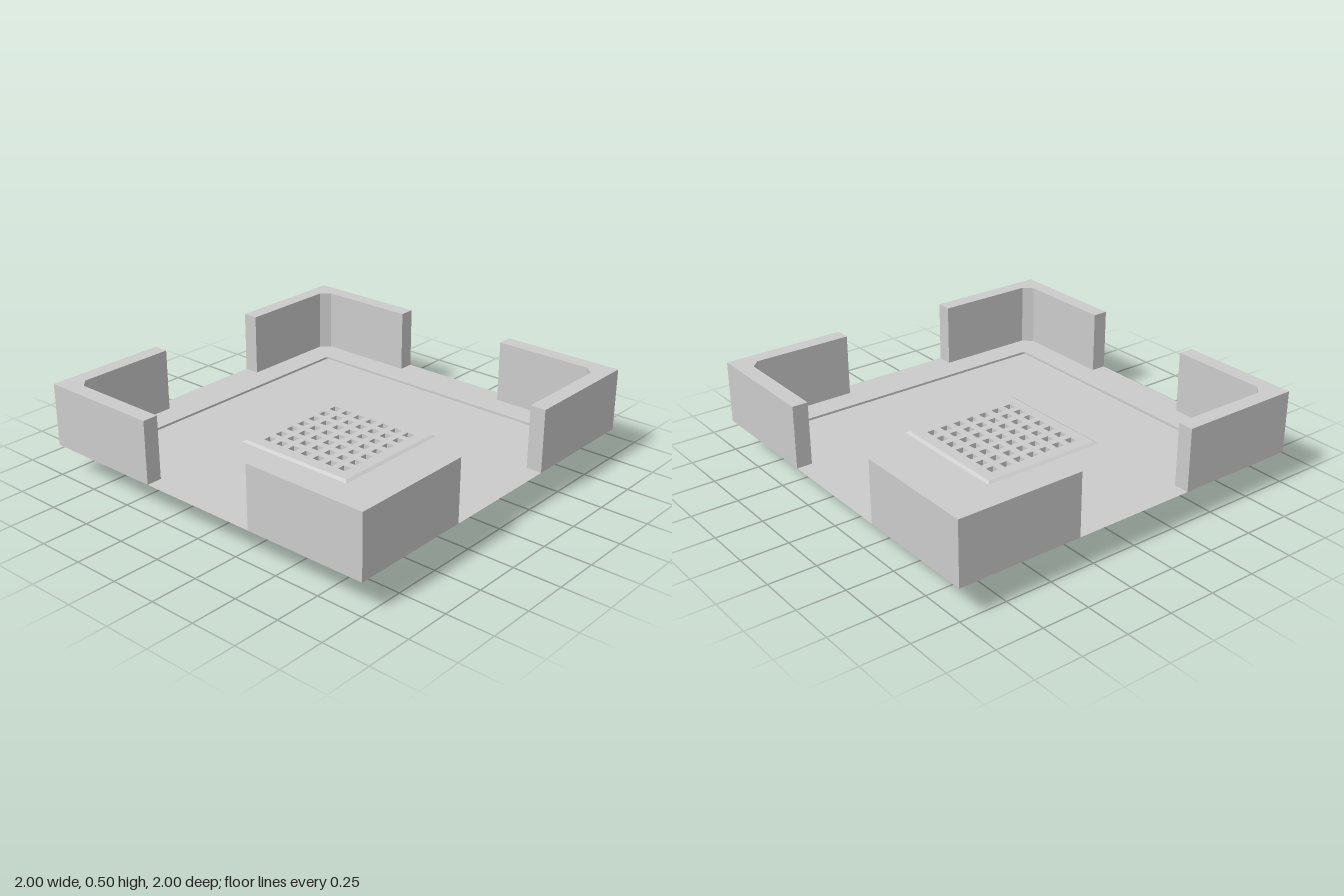
import * as THREE from 'three';

const material = new THREE.MeshStandardMaterial({ color: 0xcccccc, flatShading: true, side: THREE.DoubleSide });

// Outlines are plan points [x, -z], counter-clockwise seen from above.
const rect = (h, cx = 0, cy = 0) => [[cx - h, cy - h], [cx + h, cy - h], [cx + h, cy + h], [cx - h, cy + h]];

const rotate = ([x, y], k) => {
  for (let i = 0; i < k; i++) [x, y] = [-y, x];
  return [x, y];
};
const fourfold = (pts) => [0, 1, 2, 3].flatMap((k) => pts.map((p) => rotate(p, k)));
const toVectors = (pts) => pts.map(([x, y]) => new THREE.Vector2(x, y));

// Horizontal sheet with optional holes
function sheet(name, outline, y, holes = []) {
  const shape = new THREE.Shape(toVectors(outline));
  holes.forEach((h) => shape.holes.push(new THREE.Path(toVectors(h))));
  const geometry = new THREE.ShapeGeometry(shape);
  geometry.rotateX(-Math.PI / 2).translate(0, y, 0);
  const mesh = new THREE.Mesh(geometry, material);
  mesh.name = name;
  return mesh;
}

// Band of side faces between two matching outlines
function band(name, lower, y0, upper, y1) {
  const pos = [];
  lower.forEach((p, i) => {
    const j = (i + 1) % lower.length;
    const a = [p[0], y0, -p[1]], b = [lower[j][0], y0, -lower[j][1]];
    const c = [upper[j][0], y1, -upper[j][1]], d = [upper[i][0], y1, -upper[i][1]];
    pos.push(...a, ...b, ...c, ...a, ...c, ...d);
  });
  const geometry = new THREE.BufferGeometry();
  geometry.setAttribute('position', new THREE.Float32BufferAttribute(pos, 3));
  geometry.computeVertexNormals();
  const mesh = new THREE.Mesh(geometry, material);
  mesh.name = name;
  return mesh;
}

export function createModel() {
  const model = new THREE.Group();
  model.name = 'tray';

  const gap = 1 / 3, inner = 0.917, chamfer = 0.87;
  const floorY = 0.167, recessY = 0.155, panelY = 0.165, topY = 0.5;

  // Floor rim, reaching the edge between the corner walls
  const rim = fourfold([[1, -gap], [1, gap], [inner, gap], [inner, chamfer], [chamfer, inner], [gap, inner]]);
  const r = 0.777, s = 0.762, m = 0.773;
  const recess = fourfold([[r, s], [m, m], [s, r]]);
  model.add(sheet('floorRim', rim, floorY, [recess]));

  // Shallow recess
  const inward = [...recess].reverse();
  model.add(band('recessStep', inward, recessY, inward, floorY));
  model.add(sheet('recessFloor', recess, recessY, [rect(0.352)]));

  // Raised, bevelled panel with a grid of square holes
  const holes = [];
  for (let i = -3; i <= 3; i++) {
    for (let j = -3; j <= 3; j++) holes.push(rect(0.022, i / 12, j / 12));
  }
  model.add(band('panelBevel', rect(0.352), recessY, rect(0.335), panelY));
  model.add(sheet('panelTop', rect(0.335), panelY, holes));
  const pockets = new THREE.Group();
  pockets.name = 'panelHoles';
  const pocketY = panelY - 0.03;
  holes.forEach((h) => {
    const ring = [...h].reverse();
    pockets.add(band('holeSides', ring, pocketY, ring, panelY), sheet('holeBottom', h, pocketY));
  });
  model.add(pockets);

  // Box under the panel
  const box = rect(gap);
  model.add(sheet('underPanel', rect(0.352), recessY, holes));
  model.add(band('baseSides', box, 0, box, recessY), sheet('baseBottom', box, 0));

  // Four L-shaped corner walls, open underneath
  const corner = [[1, gap], [1, 1], [gap, 1], [gap, inner], [chamfer, inner], [inner, chamfer], [inner, gap]];
  for (let k = 0; k < 4; k++) {
    const wall = new THREE.Group();
    wall.name = 'cornerWall';
    wall.add(band('wallSides', corner, floorY, corner, topY), sheet('wallTop', corner, topY));
    wall.rotation.y = (k * Math.PI) / 2;
    model.add(wall);
  }
  return model;
}
